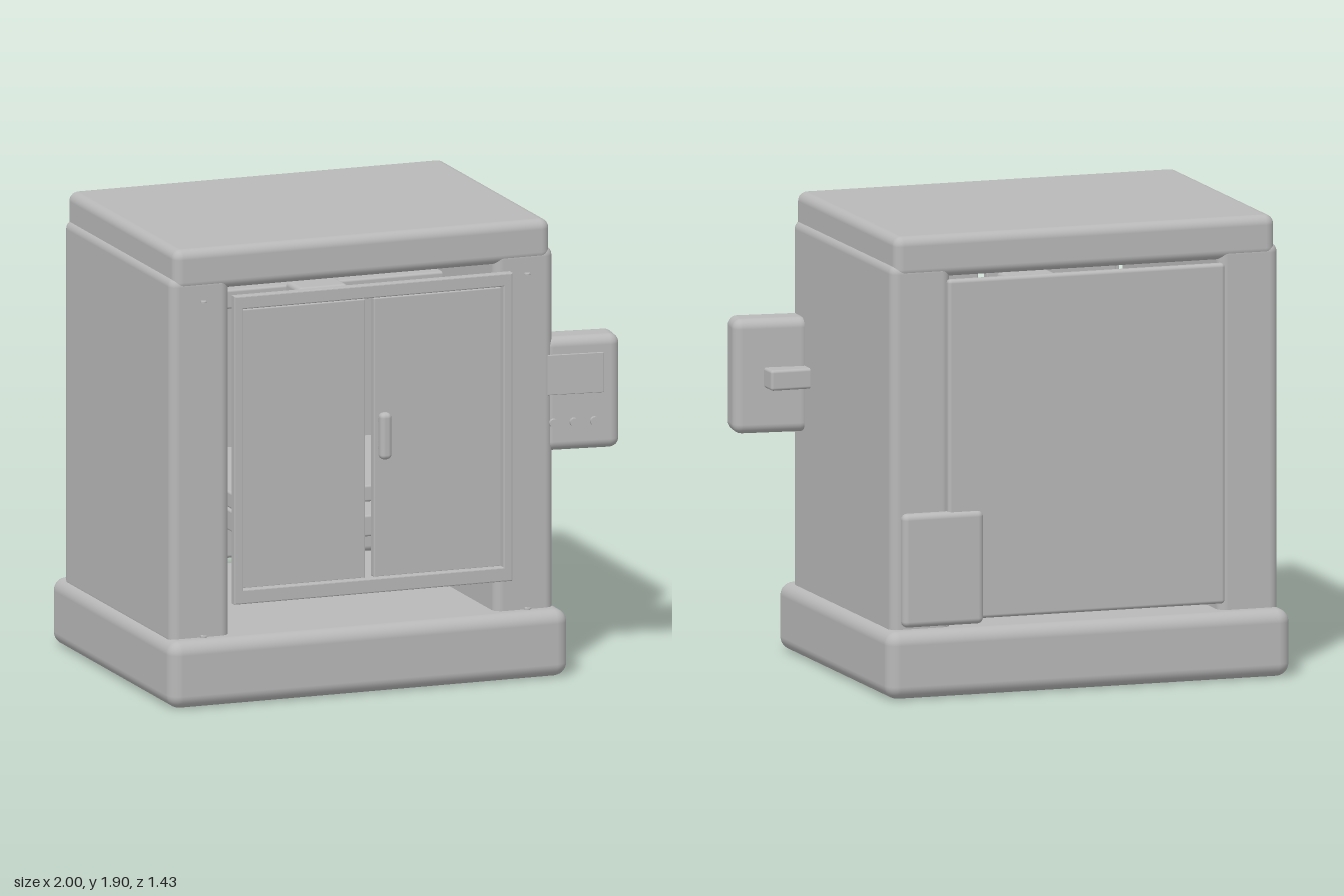
import * as THREE from 'three';
import { RoundedBoxGeometry } from 'three/addons/geometries/RoundedBoxGeometry.js';

export function createModel() {
  const model = new THREE.Group();
  model.name = 'cabinet';
  const grey = new THREE.MeshStandardMaterial({ color: 0xb8b8b8 });
  grey.name = 'grey';

  function add(name, geometry, parent = model) {
    const mesh = new THREE.Mesh(geometry, grey);
    mesh.name = name;
    parent.add(mesh);
    return mesh;
  }
  // Rounded block given by its limits on each axis
  function block(name, [x0, x1], [y0, y1], [z0, z1], radius, parent = model) {
    const mesh = add(name, new RoundedBoxGeometry(x1 - x0, y1 - y0, z1 - z0, 4, radius), parent);
    mesh.position.set((x0 + x1) / 2, (y0 + y1) / 2, (z0 + z1) / 2);
    return mesh;
  }

  // Shell: plinth, side walls and lid, open at the front
  block('base', [-1, 0.75], [0, 0.28], [-0.715, 0.645], 0.055);
  block('rightWall', [-0.97, -0.71], [0.24, 1.79], [-0.64, 0.57], 0.04);
  block('leftWall', [0.45, 0.71], [0.24, 1.79], [-0.64, 0.57], 0.04);
  block('lid', [-0.955, 0.695], [1.73, 1.905], [-0.642, 0.572], 0.04);

  // Back panel and service box
  block('backPanel', [-0.73, 0.47], [0.31, 1.72], [-0.66, -0.62], 0.015);
  block('backBox', [0.32, 0.67], [0.29, 0.76], [-0.675, -0.61], 0.025);

  // Door frame: one extruded ring
  const frame = new THREE.Shape();
  frame.moveTo(-0.73, 0.435).lineTo(0.48, 0.435).lineTo(0.48, 1.715).lineTo(-0.73, 1.715).closePath();
  const hole = new THREE.Path();
  hole.moveTo(-0.7, 0.485).lineTo(-0.7, 1.67).lineTo(0.45, 1.67).lineTo(0.45, 0.485).closePath();
  frame.holes.push(hole);
  const frameMesh = add('doorFrame', new THREE.ExtrudeGeometry(frame, {
    depth: 0.03, bevelSize: 0.005, bevelThickness: 0.005, bevelSegments: 2,
  }));
  frameMesh.position.z = 0.645;

  // Two door leaves with a handle on one
  for (const x of [-0.705, -0.108]) {
    block('doorLeaf', [x, x + 0.56], [0.485, 1.655], [0.6, 0.64], 0.006);
  }
  block('handle', [-0.105, -0.055], [0.99, 1.185], [0.668, 0.717], 0.02);
  for (const y of [1.03, 1.145]) {
    block('handleStalk', [-0.09, -0.07], [y - 0.01, y + 0.01], [0.63, 0.69], 0.004);
  }

  // Hinge pins at the four corners of the opening
  for (const x of [-0.835, 0.585]) {
    for (const y of [0.286, 1.688]) {
      const pin = add('hingePin', new THREE.CylinderGeometry(0.013, 0.013, 0.006, 16));
      pin.position.set(x, y, 0.587);
      block('hingeArm', [x - 0.005, x + 0.005], [y - 0.003, y + 0.003], [0.56, 0.587], 0.002);
    }
  }

  // Inner machinery: gantry, head, bed and lead screw
  block('gantry', [-0.72, 0.46], [1.5, 1.58], [-0.12, -0.02], 0.01);
  block('toolHead', [-0.24, -0.02], [1.16, 1.6], [-0.02, 0.14], 0.02);
  block('bed', [-0.62, 0.36], [0.75, 0.82], [-0.45, 0.42], 0.01);
  block('bedCarriage', [-0.5, 0.24], [0.58, 0.67], [-0.35, 0.32], 0.01);
  const screw = add('leadScrew', new THREE.CylinderGeometry(0.018, 0.018, 0.4, 20));
  screw.position.set(-0.128, 0.57, 0);

  // Control unit, turned slightly and carried by a side bracket
  block('bracket', [0.69, 0.88], [1.12, 1.205], [0.345, 0.46], 0.012);
  const control = new THREE.Group();
  control.name = 'controlUnit';
  control.position.set(0.838, 1.167, 0.505);
  control.rotation.y = -0.12;
  model.add(control);
  block('controlBox', [-0.16, 0.16], [-0.238, 0.238], [-0.077, 0.077], 0.04, control);
  block('screen', [-0.15, 0.09], [0, 0.168], [0.07, 0.082], 0.003, control);
  for (const x of [-0.123, -0.037, 0.049]) {
    const knob = add('knob', new THREE.CylinderGeometry(0.018, 0.018, 0.03, 24), control);
    knob.rotation.x = Math.PI / 2;
    knob.position.set(x, -0.117, 0.08);
  }
  return model;
}
